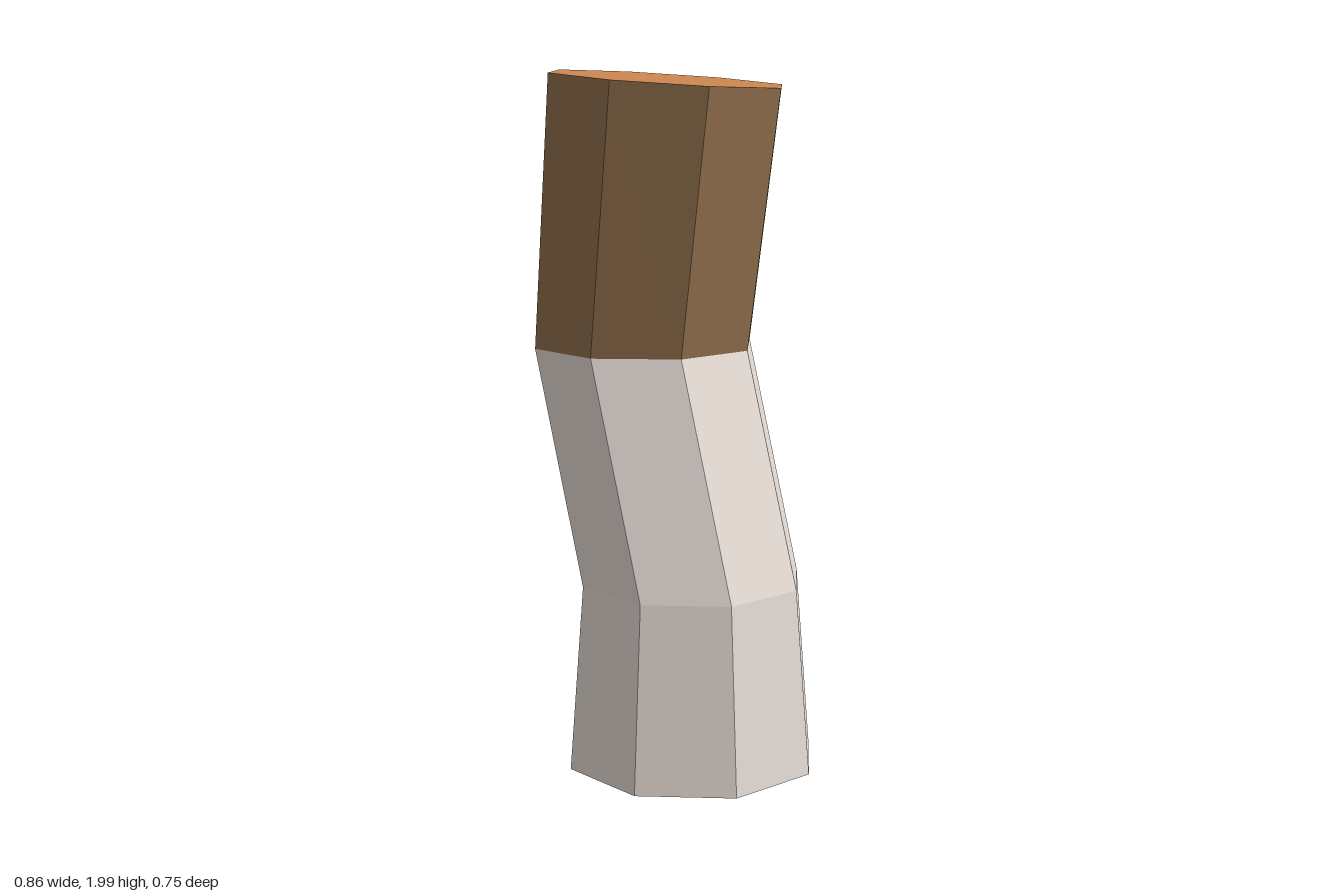
import * as THREE from 'three';

const SIDES = 8;

// Cross-sections from bottom to top: centre, radius, and slope of y along x
const ashTip = { x: 0.075, y: 0.005, z: 0.015, r: 0 };
const ashRim = { x: 0.07, y: 0.073, z: 0.015, r: 0.31 };
const base = { x: 0.07, y: 0.075, z: 0.015, r: 0.36 };
const bend = { x: 0.068, y: 0.597, z: 0.015, r: 0.318 };
const joint = { x: -0.115, y: 1.24, z: -0.055, r: 0.318 };
const end = { x: -0.035, y: 1.976, z: -0.04, r: 0.337, slope: -0.07 };
const endCentre = { ...end, r: 0 };

function ringPoint({ x, y, z, r, slope = 0 }, i) {
  const a = (i / SIDES) * Math.PI * 2;
  const dx = r * Math.cos(a);
  return [x + dx, y + slope * dx, z + r * Math.sin(a)];
}

// Skin a stack of rings; a ring of radius 0 closes to a point
function loft(name, color, rings) {
  const pos = [];
  for (let k = 0; k < rings.length - 1; k++) {
    const low = rings[k], high = rings[k + 1];
    for (let i = 0; i < SIDES; i++) {
      const a = ringPoint(low, i), b = ringPoint(high, i);
      const c = ringPoint(high, i + 1), d = ringPoint(low, i + 1);
      if (high.r > 0) pos.push(...a, ...b, ...c);
      if (low.r > 0) pos.push(...a, ...c, ...d);
    }
  }
  const geo = new THREE.BufferGeometry();
  geo.setAttribute('position', new THREE.Float32BufferAttribute(pos, 3));
  geo.computeVertexNormals();
  const mesh = new THREE.Mesh(geo, new THREE.MeshStandardMaterial({ color, flatShading: true }));
  mesh.name = name;
  return mesh;
}

export function createModel() {
  const group = new THREE.Group();
  group.name = 'cigaretteButt';
  group.add(
    loft('burntEnd', 0x0d0805, [ashTip, ashRim, base]),
    loft('paper', 0xe8ded8, [base, bend, joint]),
    loft('filterWrap', 0x94724f, [joint, end]),
    loft('filterEnd', 0xcc8650, [end, endCentre]),
  );
  return group;
}
